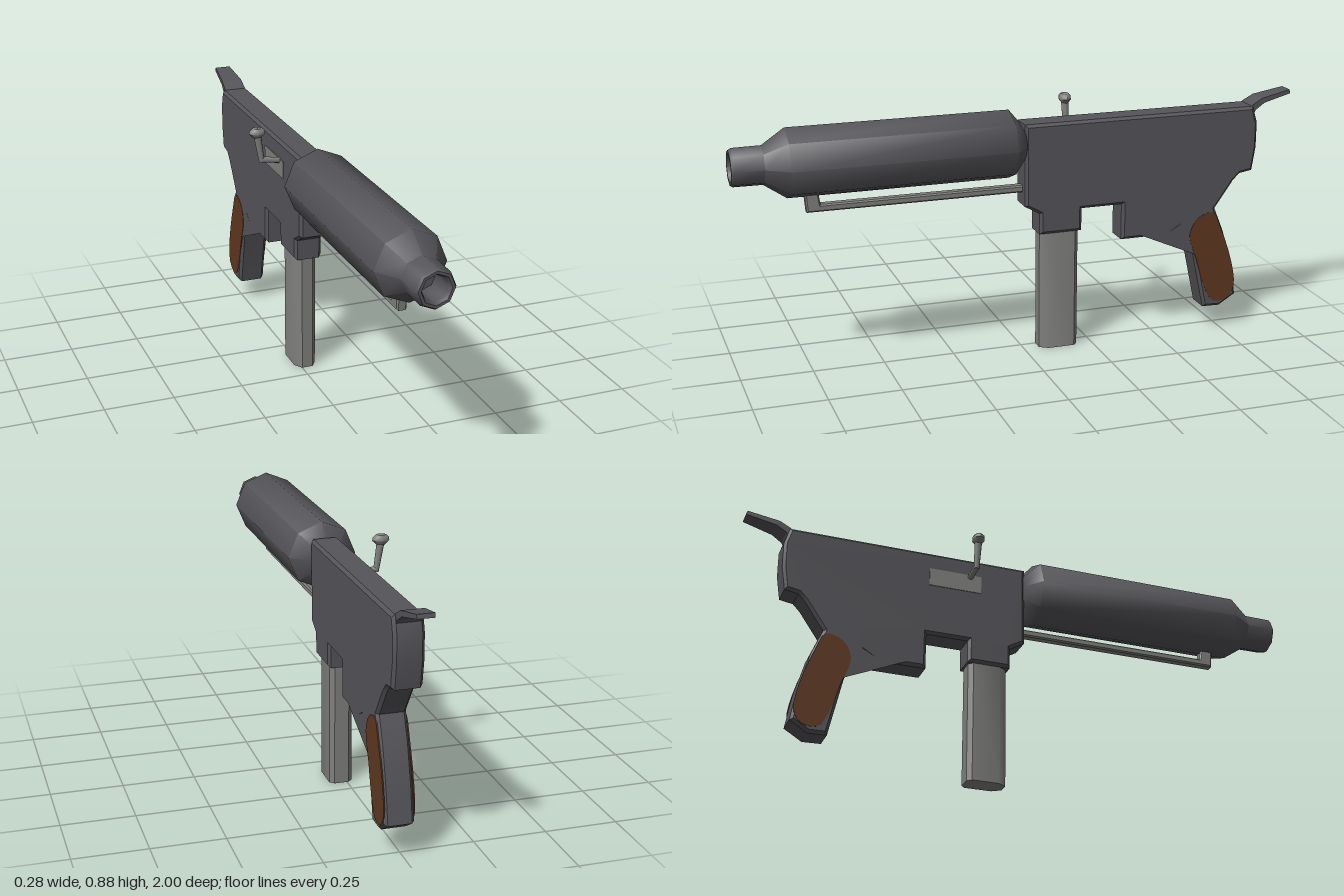
import * as THREE from 'three';
import { toCreasedNormals } from 'three/addons/utils/BufferGeometryUtils.js';

const CX = 0.02; // x of the centre plane

export function createModel() {
  const group = new THREE.Group();
  const mat = (name, color, extra = {}) => {
    const m = new THREE.MeshStandardMaterial({ color, ...extra });
    m.name = name;
    return m;
  };
  const gunmetal = mat('gunmetal', 0x555459);
  const steel = mat('steel', 0x80807e);
  const wood = mat('wood', 0x5f3820);

  const add = (name, geo, material) => {
    const mesh = new THREE.Mesh(geo, material);
    mesh.name = name;
    group.add(mesh);
    return mesh;
  };
  const path = (pts) => pts.map(([a, b]) => new THREE.Vector2(a, b));

  // Extrudes a side outline of [z, y] points to a given width along x
  const slab = (pts, width, bevel = 0, hole = null, x = CX) => {
    const shape = new THREE.Shape(path(pts));
    if (hole) shape.holes.push(new THREE.Path(path(hole)));
    const depth = width - 2 * bevel;
    const geo = new THREE.ExtrudeGeometry(shape, {
      depth, bevelEnabled: bevel > 0, bevelThickness: bevel, bevelSize: bevel,
      bevelOffset: -bevel, bevelSegments: 1, curveSegments: 6,
    });
    geo.translate(0, 0, -depth / 2);
    geo.rotateY(-Math.PI / 2);
    geo.translate(x, 0, 0);
    return geo;
  };

  // Receiver, magazine well, trigger guard and grip frame in one outline
  const frame = [
    [0.005, 0.825], [0.005, 0.535], [-0.048, 0.505], [-0.048, 0.43], [-0.203, 0.43],
    [-0.203, 0.51], [-0.353, 0.51], [-0.353, 0.38], [-0.535, 0.38], [-0.594, 0.417],
    [-0.635, 0.29], [-0.68, 0.087], [-0.745, 0.085], [-0.807, 0.123], [-0.786, 0.24],
    [-0.75, 0.37], [-0.713, 0.46], [-0.78, 0.556], [-0.805, 0.582], [-0.853, 0.59],
    [-0.866, 0.675], [-0.866, 0.765], [-0.848, 0.825],
  ];
  const guardHole = [
    [-0.406, 0.41], [-0.406, 0.495], [-0.435, 0.522], [-0.54, 0.518],
    [-0.567, 0.49], [-0.567, 0.42], [-0.535, 0.403], [-0.42, 0.403],
  ];
  add('receiverAndGripFrame', toCreasedNormals(slab(frame, 0.1, 0.01, guardHole), 0.6), gunmetal);

  // Eight-sided barrel jacket with a hollow muzzle
  const barrel = new THREE.LatheGeometry(path([
    [0.001, 0], [0.06, 0], [0.12, 0.05], [0.12, 0.815], [0.067, 0.892], [0.066, 0.99],
    [0.06, 1], [0.05, 1], [0.043, 0.985], [0.042, 0.9], [0.001, 0.9],
  ]), 8);
  barrel.rotateX(Math.PI / 2);
  barrel.translate(0.017, 0.752, 0);
  add('barrelJacket', toCreasedNormals(barrel, 0.9), gunmetal);

  // Rod below the barrel with its upturned front end
  add('underBarrelRod', slab([
    [0, 0.605], [0, 0.58], [0.755, 0.58], [0.76, 0.645], [0.715, 0.65], [0.708, 0.605],
  ], 0.034, 0.005), steel);

  // Magazine, with chamfered front and rear corners
  const section = new THREE.Shape(path([
    [-0.02, 0.085], [-0.02, 0.18], [-0.005, 0.195], [0.045, 0.195],
    [0.06, 0.18], [0.06, 0.085], [0.04, 0.055], [0, 0.055],
  ]));
  const magazine = new THREE.ExtrudeGeometry(section, { depth: 0.45, bevelEnabled: false });
  magazine.rotateX(-Math.PI / 2); // section depth runs backwards from the front
  add('magazine', toCreasedNormals(magazine, 0.6), steel);

  // Trigger
  add('trigger', slab([
    [-0.455, 0.53], [-0.488, 0.49], [-0.51, 0.428], [-0.526, 0.428],
    [-0.518, 0.475], [-0.498, 0.51], [-0.48, 0.53],
  ], 0.03), steel);

  // Wooden grip panels on both sides
  const panelCurve = new THREE.CatmullRomCurve3([
    [-0.645, 0.43], [-0.705, 0.447], [-0.737, 0.385], [-0.785, 0.25], [-0.797, 0.155],
    [-0.77, 0.113], [-0.715, 0.11], [-0.68, 0.165], [-0.645, 0.275], [-0.615, 0.37],
  ].map(([z, y]) => new THREE.Vector3(z, y, 0)), true);
  const panel = panelCurve.getPoints(30).slice(0, 30).map((p) => [p.x, p.y]);
  for (const side of [-1, 1]) {
    add(side > 0 ? 'leftGripPanel' : 'rightGripPanel',
      slab(panel, 0.004, 0, null, CX + side * 0.0495), wood);
  }

  // Rear lever, narrowing towards its tip
  const lever = slab([
    [-0.83, 0.8], [-0.845, 0.828], [-0.885, 0.85], [-0.996, 0.872], [-1, 0.858],
    [-0.895, 0.833], [-0.86, 0.81], [-0.85, 0.79],
  ], 0.08);
  const pos = lever.attributes.position;
  for (let i = 0; i < pos.count; i++) {
    const t = THREE.MathUtils.clamp((-pos.getZ(i) - 0.86) / 0.14, 0, 1);
    pos.setX(i, CX + (pos.getX(i) - CX) * (1 - 0.3 * t));
  }
  lever.computeVertexNormals();
  add('rearLever', lever, gunmetal);

  // Ejection port plate on the right side
  const port = new THREE.BoxGeometry(0.006, 0.065, 0.19);
  port.translate(-0.0295, 0.73, -0.255);
  add('ejectionPort', port, steel);

  // Cocking handle: a short arm, a rising stem and a flared knob
  const rod = (name, a, b, r0, r1) => {
    const from = new THREE.Vector3(...a);
    const dir = new THREE.Vector3(...b).sub(from);
    const geo = new THREE.CylinderGeometry(r1, r0, dir.length(), 8);
    const mesh = add(name, geo, steel);
    mesh.position.copy(from).addScaledVector(dir, 0.5);
    mesh.quaternion.setFromUnitVectors(new THREE.Vector3(0, 1, 0), dir.normalize());
  };
  rod('handleArm', [-0.025, 0.755, -0.2], [-0.1, 0.765, -0.2], 0.011, 0.011);
  rod('handleStem', [-0.096, 0.757, -0.2], [-0.112, 0.86, -0.2], 0.01, 0.014);
  const knob = new THREE.LatheGeometry(path([
    [0.001, 0.845], [0.014, 0.847], [0.03, 0.863], [0.028, 0.873], [0.018, 0.882], [0.001, 0.882],
  ]), 8);
  knob.scale(1, 1, 0.75);
  knob.translate(-0.112, 0, -0.2);
  add('handleKnob', toCreasedNormals(knob, 0.8), steel);

  return group;
}
